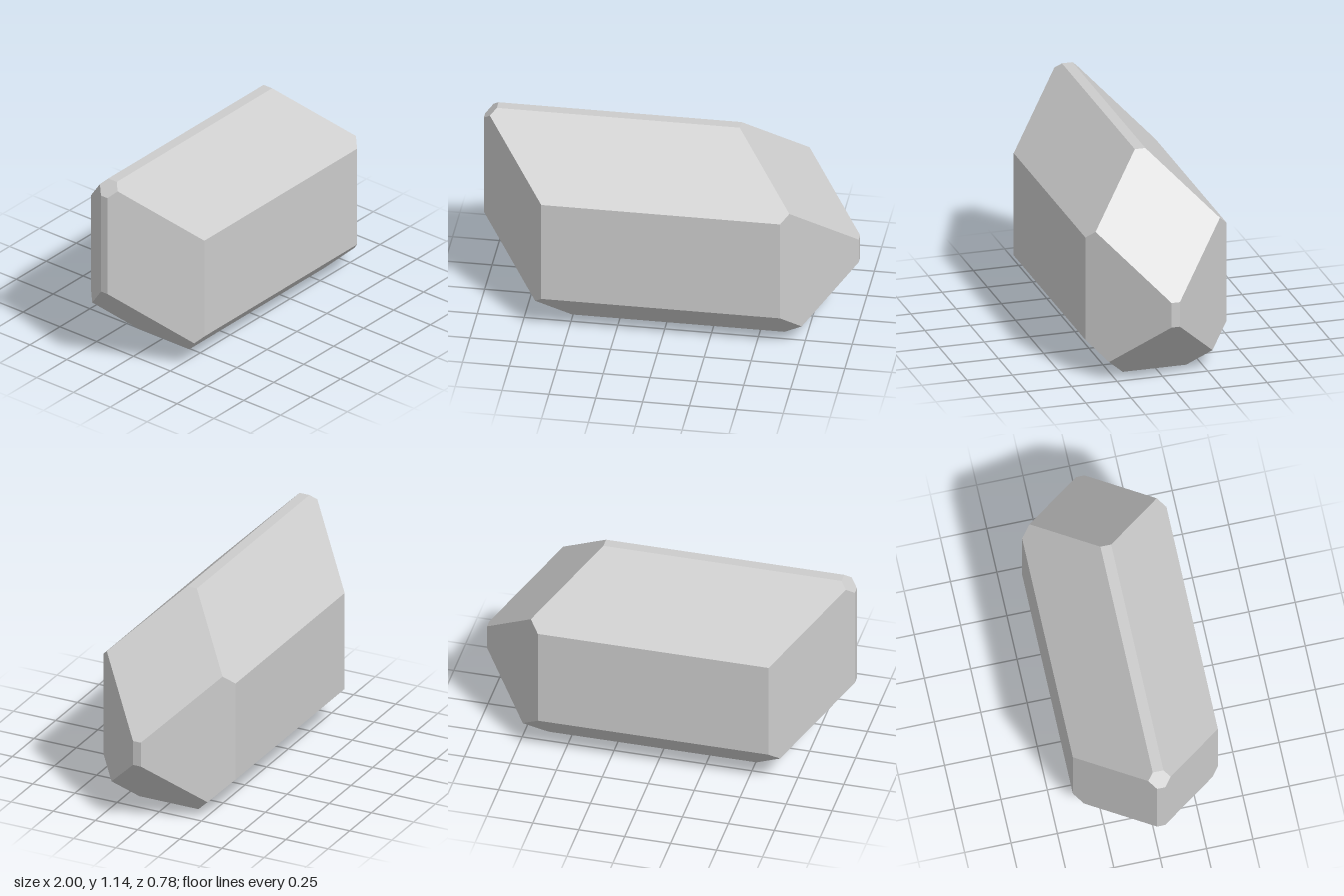
import * as THREE from 'three';

// Bounding planes of the crystal: outward direction (x, y, z) and limit of the dot product
const PLANES = [
  // axis-aligned faces
  [1, 0, 0, 1], [-1, 0, 0, 1],
  [0, 1, 0, 1.145], [0, -1, 0, 0],
  [0, 0, 1, 0.39], [0, 0, -1, 0.39],
  // 45 degree bevels between ends and top / bottom
  [1, 1, 0, 1.511], [-1, 1, 0, 2.075], [1, -1, 0, 0.628], [-1, -1, 0, 0.505],
  // bevels between front / back and top / bottom
  [0, 1, 1, 1.178], [0, 1, -1, 1.17], [0, -1, 1, 0.181], [0, -1, -1, 0.169],
  // bevels between ends and front / back
  [1, 0, 1, 1.027], [1, 0, -1, 1.019], [-1, 0, 1, 1.027], [-1, 0, -1, 1.017],
].map(([x, y, z, d]) => {
  const n = new THREE.Vector3(x, y, z);
  const len = n.length();
  return new THREE.Plane(n.divideScalar(len), -d / len);
});

// Point shared by three planes, or null when they have none
function meet(a, b, c) {
  const bc = b.normal.clone().cross(c.normal);
  const det = a.normal.dot(bc);
  if (Math.abs(det) < 1e-6) return null;
  return bc.multiplyScalar(-a.constant)
    .addScaledVector(c.normal.clone().cross(a.normal), -b.constant)
    .addScaledVector(a.normal.clone().cross(b.normal), -c.constant)
    .divideScalar(det);
}

// Corners of the solid: triple intersections lying inside every plane
function solidCorners(planes) {
  const corners = [];
  for (let i = 0; i < planes.length; i++)
    for (let j = i + 1; j < planes.length; j++)
      for (let k = j + 1; k < planes.length; k++) {
        const p = meet(planes[i], planes[j], planes[k]);
        if (!p || planes.some((q) => q.distanceToPoint(p) > 1e-6)) continue;
        if (!corners.some((q) => q.distanceTo(p) < 1e-5)) corners.push(p);
      }
  return corners;
}

// Flat-faced solid: the corners on each plane, ordered around it and fanned
function facetGeometry(planes) {
  const corners = solidCorners(planes);
  const positions = [];
  const normals = [];
  for (const plane of planes) {
    const ring = corners.filter((p) => Math.abs(plane.distanceToPoint(p)) < 1e-5);
    if (ring.length < 3) continue;
    const n = plane.normal;
    const centre = new THREE.Vector3();
    ring.forEach((p) => centre.addScaledVector(p, 1 / ring.length));
    const u = ring[0].clone().sub(centre).normalize();
    const v = n.clone().cross(u);
    const angle = (p) => {
      const d = p.clone().sub(centre);
      return Math.atan2(d.dot(v), d.dot(u));
    };
    ring.sort((p, q) => angle(p) - angle(q));
    for (let i = 1; i < ring.length - 1; i++)
      for (const p of [ring[0], ring[i], ring[i + 1]]) {
        positions.push(p.x, p.y, p.z);
        normals.push(n.x, n.y, n.z);
      }
  }
  const geometry = new THREE.BufferGeometry();
  geometry.setAttribute('position', new THREE.Float32BufferAttribute(positions, 3));
  geometry.setAttribute('normal', new THREE.Float32BufferAttribute(normals, 3));
  return geometry;
}

export function createModel() {
  const group = new THREE.Group();
  group.name = 'facetedCrystal';
  const material = new THREE.MeshStandardMaterial({ color: 0xcccccc, flatShading: true });
  const crystal = new THREE.Mesh(facetGeometry(PLANES), material);
  crystal.name = 'crystalBody';
  group.add(crystal);
  return group;
}
